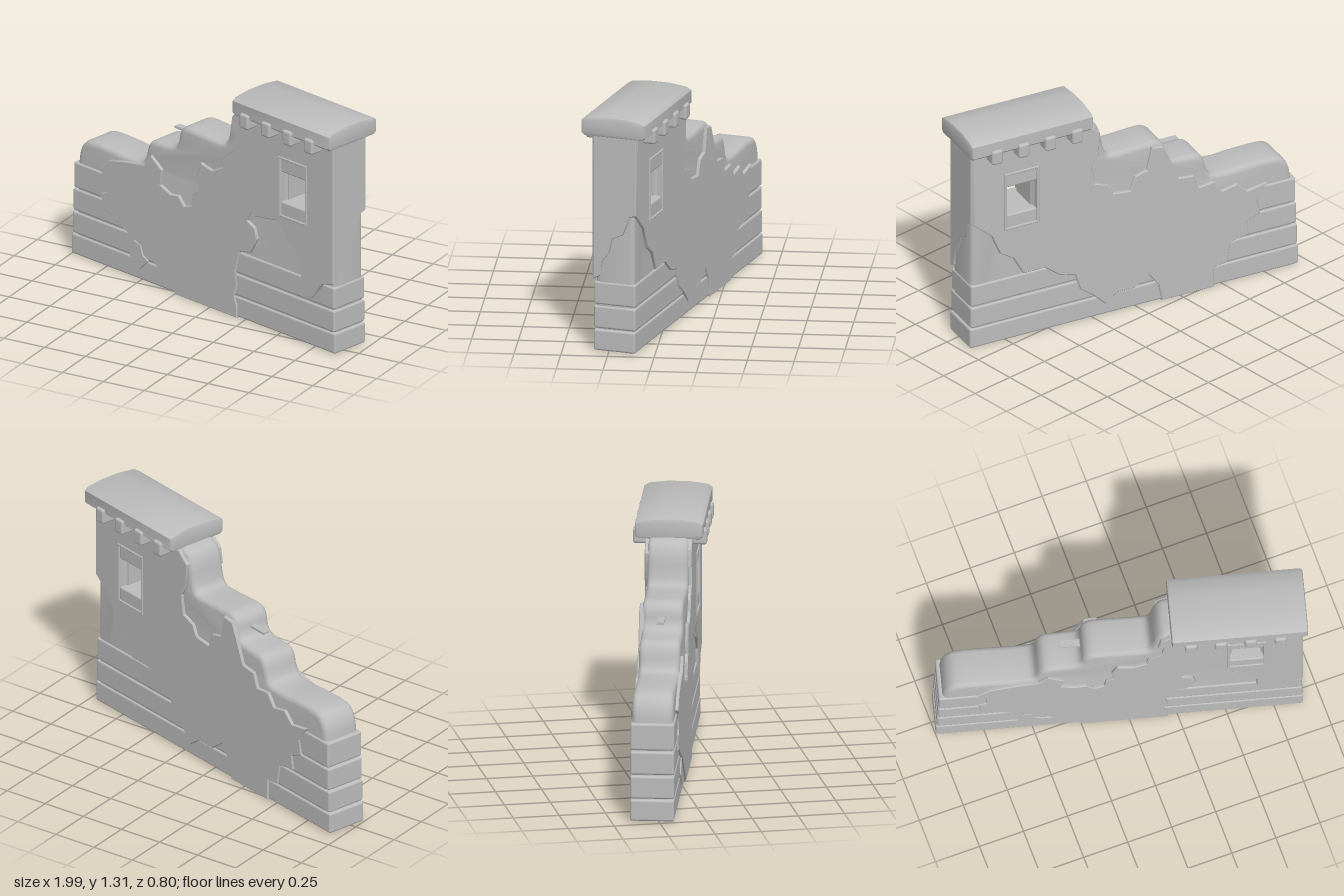
import * as THREE from 'three';
import { RoundedBoxGeometry } from 'three/addons/geometries/RoundedBoxGeometry.js';
import { toCreasedNormals } from 'three/addons/utils/BufferGeometryUtils.js';

const stone = new THREE.MeshStandardMaterial({ color: 0xbcbcbc });
stone.name = 'grey stone';

// Wall is built along x, thickness along z, then turned 15 degrees.
const TURN = Math.PI / 12;
const frontX = (x) => (x + 0.023) / Math.cos(TURN);
const toShape = (pts) => new THREE.Shape(pts.map(([x, y]) => new THREE.Vector2(x, y)));

function rectHole(shape, x0, x1, y0, y1) {
  shape.holes.push(new THREE.Path([
    new THREE.Vector2(x0, y0), new THREE.Vector2(x0, y1),
    new THREE.Vector2(x1, y1), new THREE.Vector2(x1, y0)]));
  return shape;
}

// Extrusion centred on z, with the bevel inside the given outline and depth
function slab(shape, depth, bevel, segments = 1) {
  const g = new THREE.ExtrudeGeometry(shape, {
    depth: depth - 2 * bevel, bevelEnabled: bevel > 0, bevelThickness: bevel,
    bevelSize: bevel, bevelOffset: -bevel, bevelSegments: segments });
  g.translate(0, 0, -depth / 2 + bevel);
  return toCreasedNormals(g, 0.6);
}

export function createModel() {
  const model = new THREE.Group();
  model.name = 'ruinedWall';
  const wall = new THREE.Group();
  wall.name = 'wall';
  wall.rotation.y = -TURN;
  wall.position.set(-0.028 * -Math.sin(TURN), 0, -0.028 * Math.cos(TURN));
  model.add(wall);

  const add = (name, geometry, x = 0, y = 0, z = 0) => {
    const m = new THREE.Mesh(geometry, stone);
    m.name = name;
    m.position.set(x, y, z);
    wall.add(m);
    return m;
  };

  // Core with the broken, stepped top
  const steps = [
    [-0.965, 0.52], [-0.955, 0.6], [-0.925, 0.66], [-0.87, 0.688], [-0.72, 0.688], [-0.6, 0.68],
    [-0.51, 0.685], [-0.48, 0.72], [-0.46, 0.79], [-0.425, 0.828], [-0.35, 0.835], [-0.275, 0.845],
    [-0.245, 0.88], [-0.23, 0.945], [-0.185, 0.982], [-0.08, 0.98], [0.06, 0.975], [0.105, 0.99],
    [0.125, 1.05], [0.14, 1.13], [0.17, 1.19], [0.22, 1.21]];
  const curve = new THREE.SplineCurve(steps.map(([x, y]) => new THREE.Vector2(frontX(x), y)));
  const core = new THREE.Shape([
    new THREE.Vector2(0.945, 0.01), new THREE.Vector2(0.945, 1.23), new THREE.Vector2(0.25, 1.23),
    ...curve.getPoints(66).reverse(), new THREE.Vector2(-0.99, 0.01)]);
  add('core', slab(rectHole(core, 0.57, 0.735, 0.75, 0.98), 0.22, 0.028, 3));

  // Stone courses
  const courses = [
    [0.004, 0.122, -1.012, 0.957], [0.126, 0.252, -1.005, 0.952],
    [0.258, 0.386, -1.0, 0.95], [0.392, 0.54, -0.995, -0.62]];
  for (const [y0, y1, x0, x1] of courses) {
    add('course', new RoundedBoxGeometry(x1 - x0, y1 - y0, 0.236, 2, 0.012),
      (x0 + x1) / 2, (y0 + y1) / 2, 0);
  }

  // Plaster skin on the front
  const front = [
    [-0.24, 0], [0.2, 0], [0.2, 0.07], [0.18, 0.12], [0.2, 0.19], [0.19, 0.27], [0.22, 0.39], [0.3, 0.41],
    [0.345, 0.5], [0.33, 0.56], [0.275, 0.59], [0.3, 0.65], [0.33, 0.63], [0.4, 0.64], [0.49, 0.655],
    [0.53, 0.62], [0.55, 0.56], [0.62, 0.52], [0.66, 0.46], [0.66, 0.38], [0.7, 0.28], [0.74, 0.28],
    [0.82, 0.385], [0.895, 0.41], [0.895, 1.22], [0.21, 1.2], [0.165, 1.16], [0.15, 1.07], [0.18, 1.06],
    [0.17, 0.96], [0.1, 0.9], [0.09, 0.84], [0.02, 0.8], [-0.06, 0.82], [-0.09, 0.74], [-0.08, 0.66],
    [-0.12, 0.62], [-0.13, 0.55], [-0.18, 0.53], [-0.22, 0.58], [-0.28, 0.57], [-0.35, 0.6],
    [-0.34, 0.69], [-0.42, 0.75], [-0.47, 0.68], [-0.6, 0.66], [-0.72, 0.63], [-0.79, 0.56],
    [-0.74, 0.5], [-0.74, 0.44], [-0.78, 0.42], [-0.77, 0.33], [-0.71, 0.32], [-0.65, 0.28],
    [-0.55, 0.23], [-0.46, 0.19], [-0.38, 0.12]].map(([x, y]) => [frontX(x), y]);
  const skin = (pts) => slab(rectHole(toShape(pts), 0.555, 0.75, 0.695, 1.03), 0.03, 0.005);
  add('frontPlaster', skin(front), 0, 0, 0.111);

  // Small leftover plaster flake on the front courses
  add('plasterFlake', slab(toShape([[-0.58, 0.14], [-0.54, 0.08], [-0.5, 0.06], [-0.43, 0.13],
    [-0.47, 0.15], [-0.49, 0.21], [-0.54, 0.22]]), 0.03, 0.004), 0, 0, 0.109);

  // Plaster skin on the back
  const back = [
    [-0.5, 0], [-0.19, 0], [-0.17, 0.1], [-0.11, 0.18], [-0.03, 0.12], [0.08, 0.12], [0.15, 0.07],
    [0.22, 0.14], [0.3, 0.2], [0.33, 0.3], [0.42, 0.32], [0.51, 0.39], [0.64, 0.39], [0.7, 0.5],
    [0.78, 0.55], [0.83, 0.67], [0.945, 0.77], [0.945, 1.22], [0.25, 1.2], [0.18, 1.14], [0.19, 1.0],
    [0.23, 0.94], [0.21, 0.83], [0.13, 0.8], [0.1, 0.74], [0, 0.73], [-0.03, 0.81], [-0.1, 0.83],
    [-0.13, 0.96], [-0.2, 0.95], [-0.25, 0.83], [-0.29, 0.73], [-0.38, 0.72], [-0.41, 0.64],
    [-0.5, 0.65], [-0.55, 0.58], [-0.64, 0.6], [-0.7, 0.54], [-0.82, 0.56], [-0.76, 0.47],
    [-0.78, 0.38], [-0.7, 0.35], [-0.71, 0.27], [-0.6, 0.25], [-0.58, 0.13], [-0.5, 0.12]];
  add('backPlaster', skin(back), 0, 0, -0.111);

  // Plaster skin on the tall end; its outline x runs from front to back
  const end = add('endPlaster', slab(toShape([
    [-0.122, 0.4], [-0.08, 0.42], [-0.07, 0.5], [-0.03, 0.55], [-0.01, 0.63], [0.05, 0.66],
    [0.09, 0.76], [0.122, 0.77], [0.122, 1.22], [-0.122, 1.22]]), 0.022, 0.005), 0.943, 0, 0);
  end.rotation.y = Math.PI / 2;

  // Window surround, lintel, sill and inner jambs
  const surround = rectHole(toShape([[0.548, 0.688], [0.757, 0.688], [0.757, 1.037], [0.548, 1.037]]),
    0.562, 0.743, 0.702, 1.023);
  for (const side of [1, -1]) add('windowSurround', slab(surround, 0.04, 0.003), 0, 0, side * 0.112);
  add('windowLintel', new RoundedBoxGeometry(0.19, 0.085, 0.25, 2, 0.01), 0.6525, 0.99, 0);
  add('windowSill', new RoundedBoxGeometry(0.19, 0.085, 0.25, 2, 0.01), 0.6525, 0.735, 0);
  for (const x of [0.567, 0.738]) {
    add('windowJamb', new THREE.BoxGeometry(0.02, 0.2, 0.16), x, 0.863, 0);
  }

  // Domed cap slab, profile across the thickness
  const profile = toShape([
    [-0.182, 1.215], [-0.165, 1.2], [0.165, 1.2], [0.182, 1.215], [0.182, 1.285], [0.155, 1.302],
    [0.06, 1.314], [-0.06, 1.314], [-0.155, 1.302], [-0.182, 1.285]]);
  const cap = add('cap', slab(profile, 0.73, 0.014, 2), 0.613, 0, 0);
  cap.rotation.y = Math.PI / 2;

  // Corbels under the cap on both faces
  for (const side of [1, -1]) {
    for (const x of [0.35, 0.51, 0.67, 0.83]) {
      add('corbel', new RoundedBoxGeometry(0.066, 0.085, 0.1, 2, 0.014), x, 1.195, side * 0.148);
    }
  }

  // Loose sliver of timber sticking out of a step
  add('peg', new THREE.BoxGeometry(0.11, 0.012, 0.04), -0.285, 0.905, -0.005);

  return model;
}
